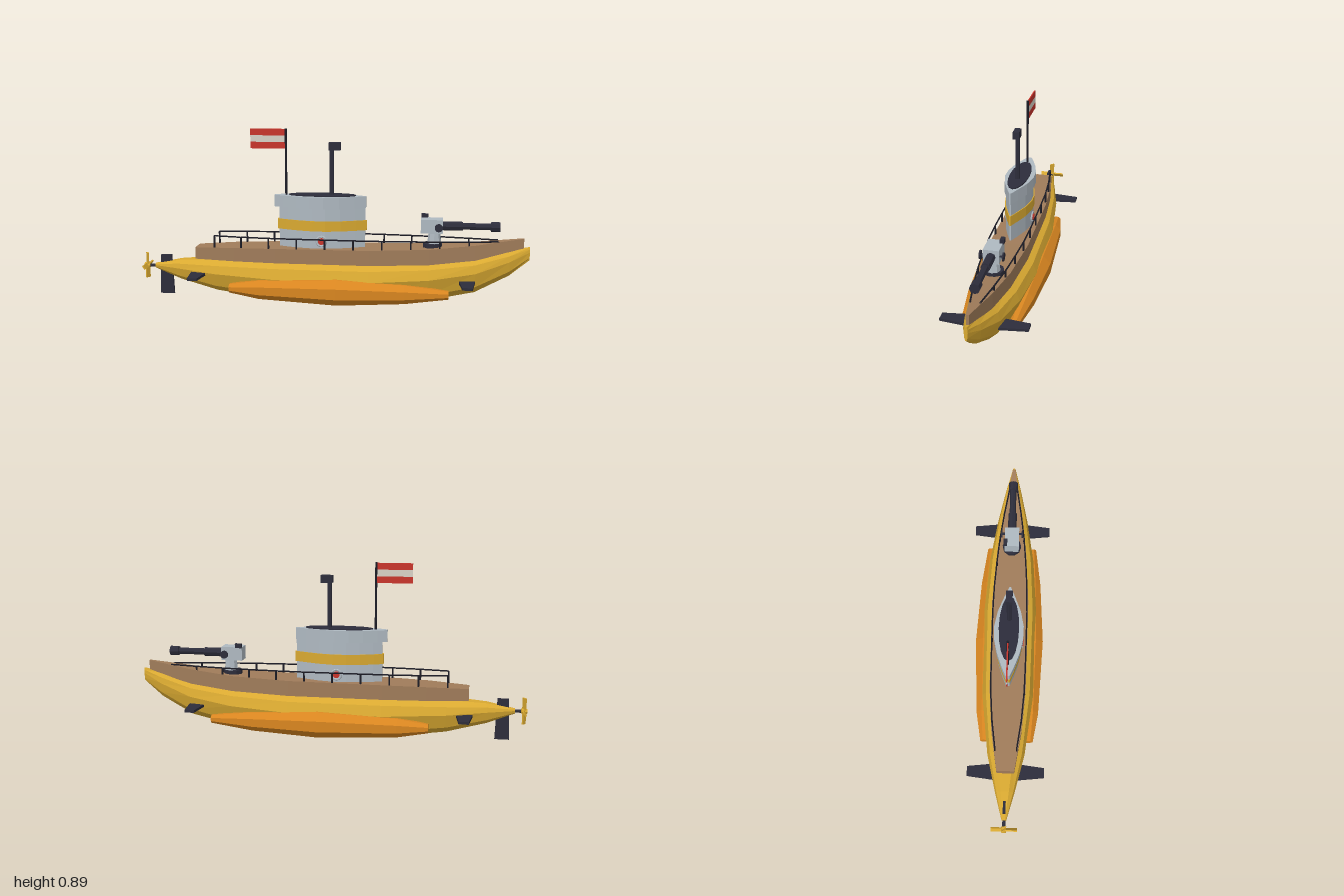
import * as THREE from 'three';

export function createModel() {
  const model = new THREE.Group();
  model.name = 'submarine';
  const mat = (name, color) => {
    const m = new THREE.MeshStandardMaterial({ color });
    m.name = name;
    return m;
  };
  const yellow = mat('hull yellow', 0xd9a931);
  const orange = mat('tank orange', 0xd98620);
  const brown = mat('deck brown', 0xa07c5a);
  const grey = mat('tower grey', 0xafb9c1);
  const dark = mat('dark metal', 0x2d2d3b);
  const black = mat('rail black', 0x1c1c26);
  const red = mat('signal red', 0xc9352c);
  const white = mat('flag white', 0xd8d2c6);

  // Faceted mesh added under a parent
  const add = (name, geo, material, x = 0, y = 0, z = 0, parent = model) => {
    const g = geo.index ? geo.toNonIndexed() : geo;
    g.computeVertexNormals();
    const mesh = new THREE.Mesh(g, material);
    mesh.name = name;
    mesh.position.set(x, y, z);
    parent.add(mesh);
    return mesh;
  };
  const box = (w, h, d) => new THREE.BoxGeometry(w, h, d);
  const post = (r, h, n = 8) => new THREE.CylinderGeometry(r, r, h, n);
  const rod = (r, len, r2 = r, n = 8) => new THREE.CylinderGeometry(r2, r, len, n).rotateZ(-Math.PI / 2);

  // Loft along x: stations are [x, bottom, top, halfWidth], profile is [width, height] fractions
  const loft = (stations, profile) => {
    const ring = [...profile, ...profile.map(([w, h]) => [-w, h]).reverse()];
    const n = ring.length, pos = [], idx = [];
    for (const [x, b, t, hw] of stations)
      for (const [w, h] of ring) pos.push(x, b + (t - b) * h, hw * w);
    for (let i = 0; i < stations.length - 1; i++)
      for (let j = 0; j < n; j++) {
        const a = i * n + j, b = i * n + (j + 1) % n;
        idx.push(a, a + n, b + n, a, b + n, b);
      }
    const last = (stations.length - 1) * n;
    for (let j = 1; j < n - 1; j++) idx.push(0, j, j + 1, last, last + j + 1, last + j);
    const g = new THREE.BufferGeometry();
    g.setAttribute('position', new THREE.Float32BufferAttribute(pos, 3));
    g.setIndex(idx);
    return g;
  };

  // Hull
  add('hull', loft([
    [-0.94, 0.147, 0.172, 0.012], [-0.8, 0.095, 0.198, 0.05], [-0.6, 0.045, 0.212, 0.097],
    [-0.28, 0.004, 0.222, 0.135], [0.2, 0.004, 0.224, 0.143], [0.5, 0.03, 0.235, 0.122],
    [0.73, 0.077, 0.255, 0.083], [0.9, 0.165, 0.29, 0.041], [1, 0.245, 0.312, 0.009],
  ], [[0.33, 0], [0.8, 0.2], [1, 0.6], [0.86, 0.84], [0.42, 1]]), yellow);

  // Deck casing
  const deck = [
    [-0.71, 0.212, 0.273, 0.045], [-0.5, 0.212, 0.282, 0.078], [-0.28, 0.212, 0.287, 0.094],
    [0.2, 0.213, 0.291, 0.097], [0.5, 0.222, 0.301, 0.078], [0.73, 0.245, 0.322, 0.048],
    [0.97, 0.3, 0.355, 0.007],
  ];
  add('deck', loft(deck, [[1, 0], [1, 1]]), brown);
  // Deck value (2 = top height, 3 = half width) at x
  const deckAt = (x, k) => {
    let i = 0;
    while (i < deck.length - 2 && deck[i + 1][0] < x) i++;
    const [a, b] = [deck[i], deck[i + 1]];
    return THREE.MathUtils.lerp(a[k], b[k], (x - a[0]) / (b[0] - a[0]));
  };

  // Saddle tanks and diving planes, both sides
  const tankProfile = [[0, -0.515], [0.024, -0.515], [0.052, -0.36], [0.072, 0.04], [0.052, 0.38], [0.022, 0.6], [0, 0.6]]
    .map(([r, y]) => new THREE.Vector2(r, y));
  const plane = (side, x) => {
    const s = new THREE.Shape([[-0.045, 0.03], [0.045, 0.03], [0.025, 0.2], [-0.025, 0.2]]
      .map(([px, pz]) => new THREE.Vector2(x + px, pz * side)));
    return new THREE.ExtrudeGeometry(s, { depth: 0.013, bevelEnabled: false }).rotateX(-Math.PI / 2);
  };
  for (const s of [1, -1]) {
    const tank = new THREE.LatheGeometry(tankProfile, 8, Math.PI / 8).rotateZ(-Math.PI / 2);
    add('saddleTank', tank, orange, 0, 0.081, s * 0.117);
    add('sternPlane', plane(s, -0.69), dark, 0, 0.133);
    add('bowPlane', plane(s, 0.69), dark, 0, 0.133, s * -0.01 * -1 * -1);
  }

  // Rudder and propeller
  const rudder = new THREE.Shape([[-0.917, 0.01], [-0.843, 0.01], [-0.852, 0.22], [-0.908, 0.22]]
    .map(p => new THREE.Vector2(...p)));
  add('rudder', new THREE.ExtrudeGeometry(rudder, { depth: 0.014, bevelEnabled: false }), dark, 0, 0, -0.007);
  add('propellerShaft', rod(0.008, 0.06), dark, -0.955, 0.159);
  const propeller = new THREE.Group();
  propeller.name = 'propeller';
  propeller.position.set(-0.985, 0.16, 0);
  model.add(propeller);
  add('propellerHub', rod(0.013, 0.03), yellow, 0, 0, 0, propeller);
  for (let i = 0; i < 4; i++) {
    const blade = box(0.008, 0.06, 0.024).rotateY(0.6).translate(0, 0.037, 0).rotateX(i * Math.PI / 2);
    add('propellerBlade', blade, yellow, 0, 0, 0, propeller);
  }

  // Conning tower: stacked lens-shaped slabs
  const lens = (x0, x1, hw, h) => {
    const half = [[0, 0.14], [0.1, 0.42], [0.25, 0.76], [0.4, 0.97], [0.55, 1], [0.72, 0.78], [0.88, 0.38], [1, 0.05]]
      .map(([u, w]) => [x0 + (x1 - x0) * u, w * hw]);
    const pts = [...half, ...half.map(([x, z]) => [x, -z]).reverse()].reverse();
    const s = new THREE.Shape(pts.map(p => new THREE.Vector2(...p)));
    return new THREE.ExtrudeGeometry(s, { depth: h, bevelEnabled: false }).rotateX(-Math.PI / 2);
  };
  add('tower', lens(-0.27, 0.172, 0.066, 0.225), grey, 0, 0.275);
  add('towerRim', lens(-0.295, 0.176, 0.074, 0.06), grey, 0, 0.493);
  add('towerBand', lens(-0.278, 0.18, 0.071, 0.052), yellow, 0, 0.378);
  add('towerHatch', post(1, 0.008, 16).scale(0.172, 1, 0.051), dark, -0.048, 0.555);

  // Life rings on the tower sides
  for (const s of [1, -1]) {
    add('lifeRing', new THREE.TorusGeometry(0.025, 0.005, 6, 16), grey, -0.045, 0.327, s * 0.068);
    add('lifeRingCentre', post(0.017, 0.016, 10).rotateX(Math.PI / 2), red, -0.045, 0.327, s * 0.068);
  }

  // Periscope
  add('periscopeTube', post(0.012, 0.25), dark, 0, 0.675);
  add('periscopeHead', box(0.06, 0.038, 0.032), dark, 0.015, 0.805);

  // Flag
  add('flagPole', post(0.006, 0.34, 6), black, -0.235, 0.722);
  [red, white, red].forEach((m, i) =>
    add('flagStripe', box(0.18, 0.0335, 0.006), m, -0.328, 0.806 + i * 0.0335));

  // Deck gun
  const gun = new THREE.Group();
  gun.name = 'deckGun';
  gun.position.set(0.515, 0, 0);
  model.add(gun);
  add('gunBase', post(0.05, 0.022, 10), dark, 0, 0.31, 0, gun);
  add('gunPedestal', new THREE.CylinderGeometry(0.028, 0.036, 0.075, 8), grey, 0.008, 0.35, 0, gun);
  add('gunBody', box(0.11, 0.07, 0.076), grey, -0.005, 0.41, 0, gun);
  add('gunSight', box(0.034, 0.022, 0.02), dark, -0.042, 0.453, -0.034, gun);
  add('gunSleeve', rod(0.023, 0.1), dark, 0.1, 0.41, 0, gun);
  add('gunBarrel', rod(0.017, 0.28), dark, 0.19, 0.41, 0, gun);
  add('gunMuzzle', rod(0.025, 0.045), dark, 0.313, 0.41, 0, gun);
  for (const s of [1, -1]) {
    add('gunWheel', post(0.021, 0.007, 10).rotateX(Math.PI / 2), dark, 0.03, 0.408, s * 0.055, gun);
    add('gunWheelAxle', post(0.006, 0.025, 6).rotateX(Math.PI / 2), dark, 0.03, 0.408, s * 0.045, gun);
  }

  // Railings follow the deck edge
  const railY = 0.339;
  for (const s of [1, -1]) {
    const points = [];
    for (let i = 0; i < 11; i++) {
      const x = -0.605 + i * 0.1447;
      const z = s * (deckAt(x, 3) - 0.006);
      const foot = deckAt(x, 2) - 0.004;
      points.push(new THREE.Vector3(x, railY, z));
      add('railPost', box(0.008, railY - foot, 0.008), black, x, (railY + foot) / 2, z);
    }
    for (let i = 0; i < 10; i++) {
      const path = new THREE.LineCurve3(points[i], points[i + 1]);
      add('rail', new THREE.TubeGeometry(path, 1, 0.004, 5), black);
    }
  }
  return model;
}
